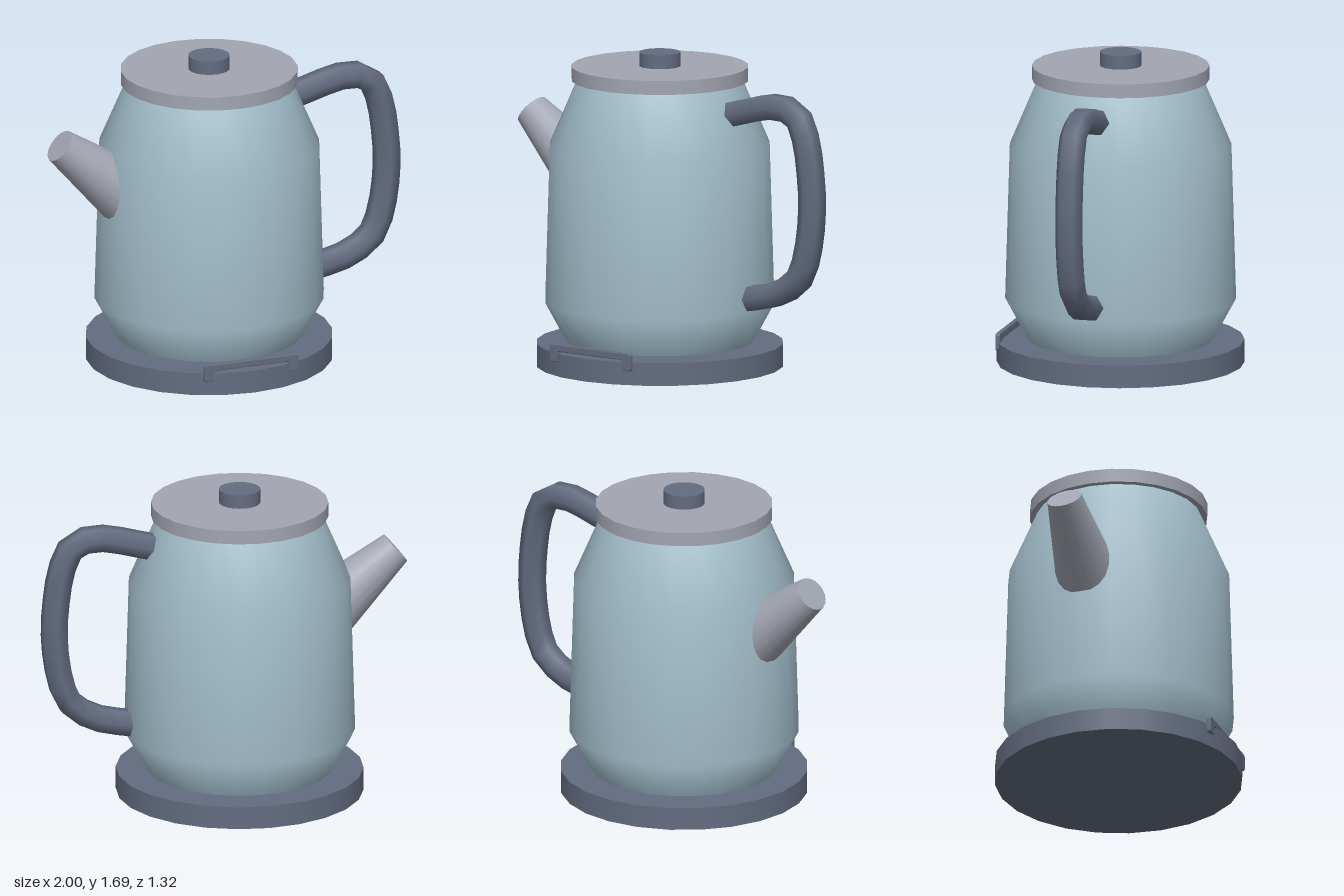
import * as THREE from 'three';

const AXIS_X = -0.085; // centre line of the jug
const SIDES = 24;

const paint = (color) => new THREE.MeshStandardMaterial({ color });
const blue = paint(0xa3bfcc);
const slate = paint(0x636c80);
const silver = paint(0xa2a6b2);

function add(group, name, geometry, material, x = 0, y = 0, z = 0) {
  const mesh = new THREE.Mesh(geometry, material);
  mesh.name = name;
  mesh.position.set(x, y, z);
  group.add(mesh);
  return mesh;
}

// Upright disc standing on height y0
function disc(group, name, radius, y0, y1, material) {
  const geometry = new THREE.CylinderGeometry(radius, radius, y1 - y0, SIDES);
  return add(group, name, geometry, material, AXIS_X, (y0 + y1) / 2, 0);
}

function roundedRect(path, w, h, r) {
  const x = w / 2, y = h / 2;
  path.moveTo(-x + r, -y);
  path.lineTo(x - r, -y);
  path.quadraticCurveTo(x, -y, x, -y + r);
  path.lineTo(x, y - r);
  path.quadraticCurveTo(x, y, x - r, y);
  path.lineTo(-x + r, y);
  path.quadraticCurveTo(-x, y, -x, y - r);
  path.lineTo(-x, -y + r);
  path.quadraticCurveTo(-x, -y, -x + r, -y);
  return path;
}

export function createModel() {
  const kettle = new THREE.Group();
  kettle.name = 'kettle';

  // Power base, lid and knob
  disc(kettle, 'powerBase', 0.66, 0, 0.123, slate);
  disc(kettle, 'lid', 0.473, 1.54, 1.615, silver);
  disc(kettle, 'lidKnob', 0.11, 1.615, 1.69, slate);

  // Jug body with chamfered foot and tapered shoulder
  const profile = [[0.5, 0.132], [0.615, 0.345], [0.59, 1.19], [0.44, 1.542]]
    .map(([r, y]) => new THREE.Vector2(r, y));
  add(kettle, 'body', new THREE.LatheGeometry(profile, SIDES), blue, AXIS_X);
  const floor = new THREE.CircleGeometry(0.5, SIDES).rotateX(Math.PI / 2);
  add(kettle, 'bodyFloor', floor, blue, AXIS_X, 0.132, 0);

  // Tapered spout, its root sunk into the body
  const root = new THREE.Vector3(-0.517, 0.935, 0);
  const tip = new THREE.Vector3(-0.94, 1.287, 0);
  const along = tip.clone().sub(root);
  const spout = add(kettle, 'spout',
    new THREE.CylinderGeometry(0.094, 0.183, along.length(), 20), silver);
  spout.position.copy(root).add(tip).multiplyScalar(0.5);
  spout.quaternion.setFromUnitVectors(new THREE.Vector3(0, 1, 0), along.normalize());

  // Six-sided handle loop
  const handlePath = new THREE.CatmullRomCurve3([
    [0.38, 1.4], [0.71, 1.476], [0.83, 1.44], [0.887, 1.33], [0.92, 1.15],
    [0.932, 0.945], [0.905, 0.72], [0.845, 0.56], [0.7, 0.465], [0.49, 0.417],
  ].map(([x, y]) => new THREE.Vector3(x, y, 0)));
  add(kettle, 'handle', new THREE.TubeGeometry(handlePath, 18, 0.075, 6, false), slate);

  // Slim rounded frame let into the front of the base
  const frame = roundedRect(new THREE.Shape(), 0.53, 0.086, 0.012);
  frame.holes.push(roundedRect(new THREE.Path(), 0.43, 0.028, 0.006));
  const frameGeometry = new THREE.ExtrudeGeometry(frame, {
    depth: 0.016, bevelThickness: 0.005, bevelSize: 0.005, bevelSegments: 2, curveSegments: 4,
  });
  add(kettle, 'baseFrame', frameGeometry, slate, AXIS_X, 0.123, 0.597);

  return kettle;
}
